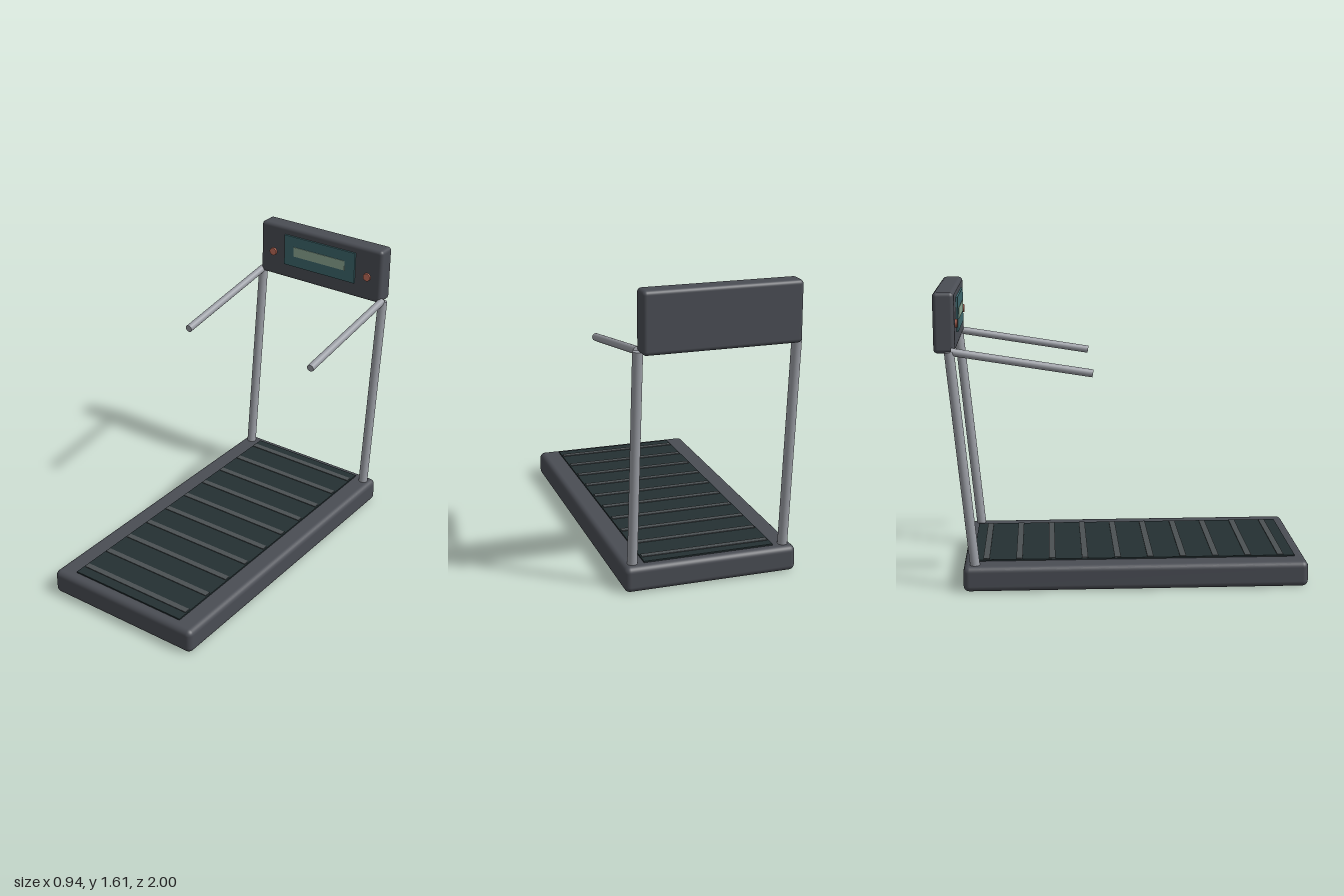
import * as THREE from 'three';
import { RoundedBoxGeometry } from 'three/addons/geometries/RoundedBoxGeometry.js';

const paint = (color) => new THREE.MeshStandardMaterial({ color });

export function createModel() {
  const model = new THREE.Group();
  const body = paint(0x4a4d54);
  const metal = paint(0x9b9ea5);
  const rubber = paint(0x243032);
  const slatGrey = paint(0x4b5053);
  const glass = paint(0x3e686e);
  const readout = paint(0x8fab97);
  const red = paint(0xc4705c);

  function add(name, geometry, material, x, y, z) {
    const mesh = new THREE.Mesh(geometry, material);
    mesh.name = name;
    mesh.position.set(x, y, z);
    model.add(mesh);
    return mesh;
  }

  // Straight round tube between two points
  function addTube(name, from, to, radius) {
    const a = new THREE.Vector3(...from);
    const b = new THREE.Vector3(...to);
    const dir = b.clone().sub(a);
    const mid = a.clone().add(b).multiplyScalar(0.5);
    const mesh = add(name, new THREE.CylinderGeometry(radius, radius, dir.length(), 24), metal, mid.x, mid.y, mid.z);
    mesh.quaternion.setFromUnitVectors(new THREE.Vector3(0, 1, 0), dir.normalize());
  }

  // Deck with running belt and cross slats
  add('deck', new RoundedBoxGeometry(0.944, 0.14, 1.87, 4, 0.032), body, 0, 0.07, 0.065);
  add('belt', new THREE.BoxGeometry(0.715, 0.02, 1.76), rubber, 0, 0.138, 0.06);
  for (let i = 0; i < 10; i++) {
    add('beltSlat', new THREE.BoxGeometry(0.7, 0.008, 0.034), slatGrey, 0, 0.148, 0.862 - i * 0.179);
  }

  // Leaning uprights and forward handrails
  for (const [side, s] of [['left', 1], ['right', -1]]) {
    addTube(side + 'Upright', [s * 0.417, 0.11, -0.805], [s * 0.417, 1.3, -0.918], 0.0265);
    addTube(side + 'Handrail', [s * 0.415, 1.3, -0.91], [s * 0.415, 1.18, -0.168], 0.021);
  }

  // Console with screen, readout and buttons
  add('console', new RoundedBoxGeometry(0.83, 0.32, 0.112, 4, 0.022), body, 0, 1.45, -0.944);
  add('screen', new THREE.BoxGeometry(0.484, 0.186, 0.02), glass, 0, 1.472, -0.888);
  add('readout', new THREE.BoxGeometry(0.352, 0.058, 0.01), readout, 0, 1.473, -0.88);
  for (const s of [1, -1]) {
    const button = add('button', new THREE.CylinderGeometry(0.023, 0.023, 0.02, 24), red, s * 0.324, 1.438, -0.887);
    button.rotation.x = Math.PI / 2;
  }

  return model;
}
